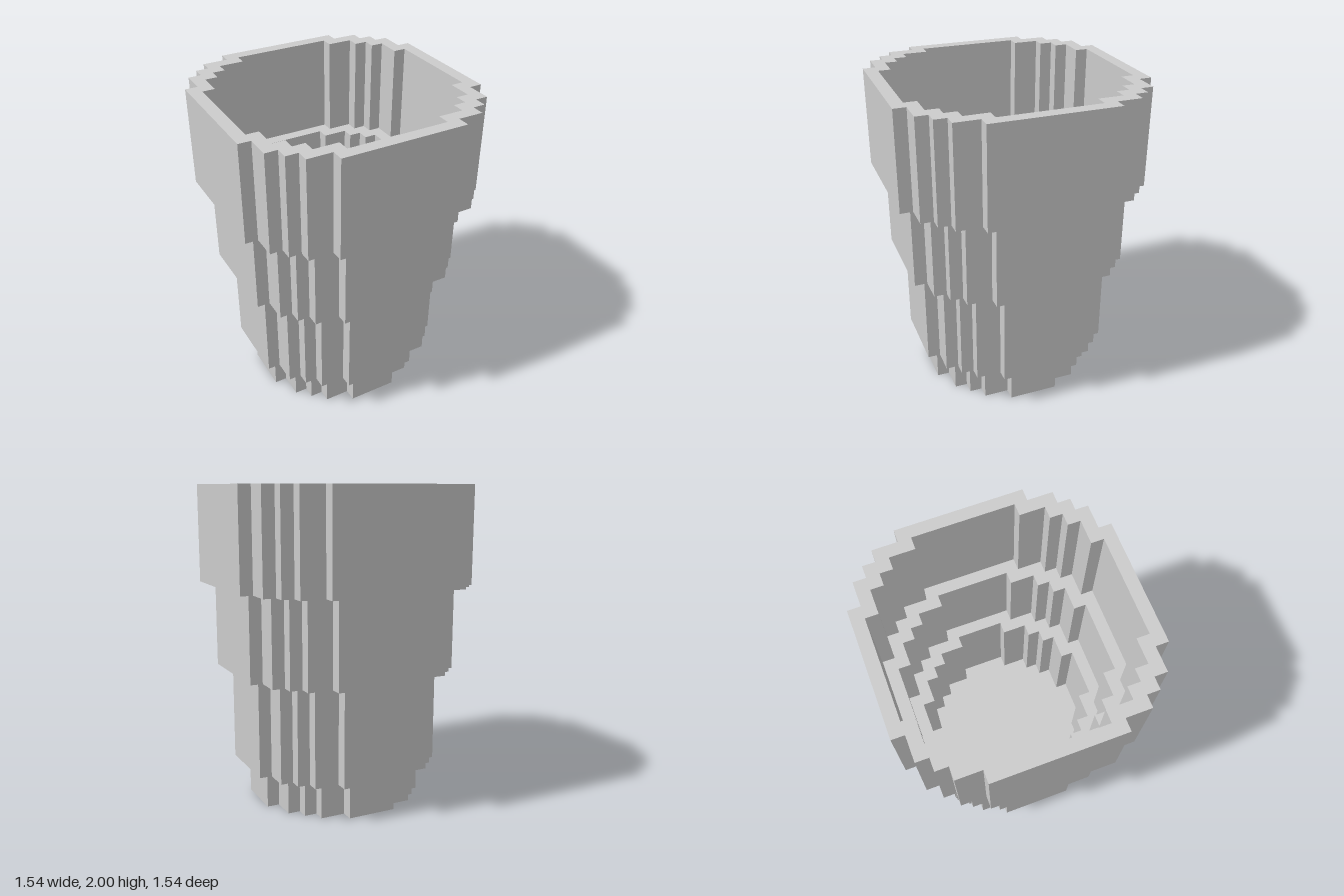
import * as THREE from 'three';

// Everything sits on a block grid: 26 blocks tall = 2 units
const U = 1 / 13;

// Stepped "round" outline of half-width r blocks, counter-clockwise
function steppedOutline(r) {
  const corners = [[r, r - 5], [r - 1, r - 3], [r - 2, r - 2], [r - 3, r - 1], [r - 5, r]];
  const quarter = [];
  corners.forEach(([x, y], i) => {
    quarter.push([x, y]);
    if (i < corners.length - 1) quarter.push([corners[i + 1][0], y]);
  });
  const points = [];
  for (let q = 0; q < 4; q++) {
    for (const [x, y] of quarter) {
      const [a, b] = [[x, y], [-y, x], [-x, -y], [y, -x]][q];
      points.push(new THREE.Vector2(a * U, b * U));
    }
  }
  return points;
}

// One tier from block row y0 to y1, hollow when an inner half-width is given
function tier(name, outer, inner, y0, y1, material) {
  const shape = new THREE.Shape(steppedOutline(outer));
  if (inner) shape.holes.push(new THREE.Path(steppedOutline(inner)));
  const geometry = new THREE.ExtrudeGeometry(shape, { depth: (y1 - y0) * U, bevelEnabled: false });
  geometry.rotateX(-Math.PI / 2);
  const mesh = new THREE.Mesh(geometry, material);
  mesh.name = name;
  mesh.position.y = y0 * U;
  return mesh;
}

export function createModel() {
  const group = new THREE.Group();
  group.name = 'steppedPot';
  const material = new THREE.MeshStandardMaterial({ color: 0xcccccc, flatShading: true });

  // Solid foot, then three rings each one block wider than the last
  group.add(
    tier('foot', 7, 0, 0, 3, material),
    tier('lowerWall', 8, 7, 3, 11, material),
    tier('middleWall', 9, 8, 11, 18, material),
    tier('rimWall', 10, 9, 18, 26, material),
  );
  return group;
}
